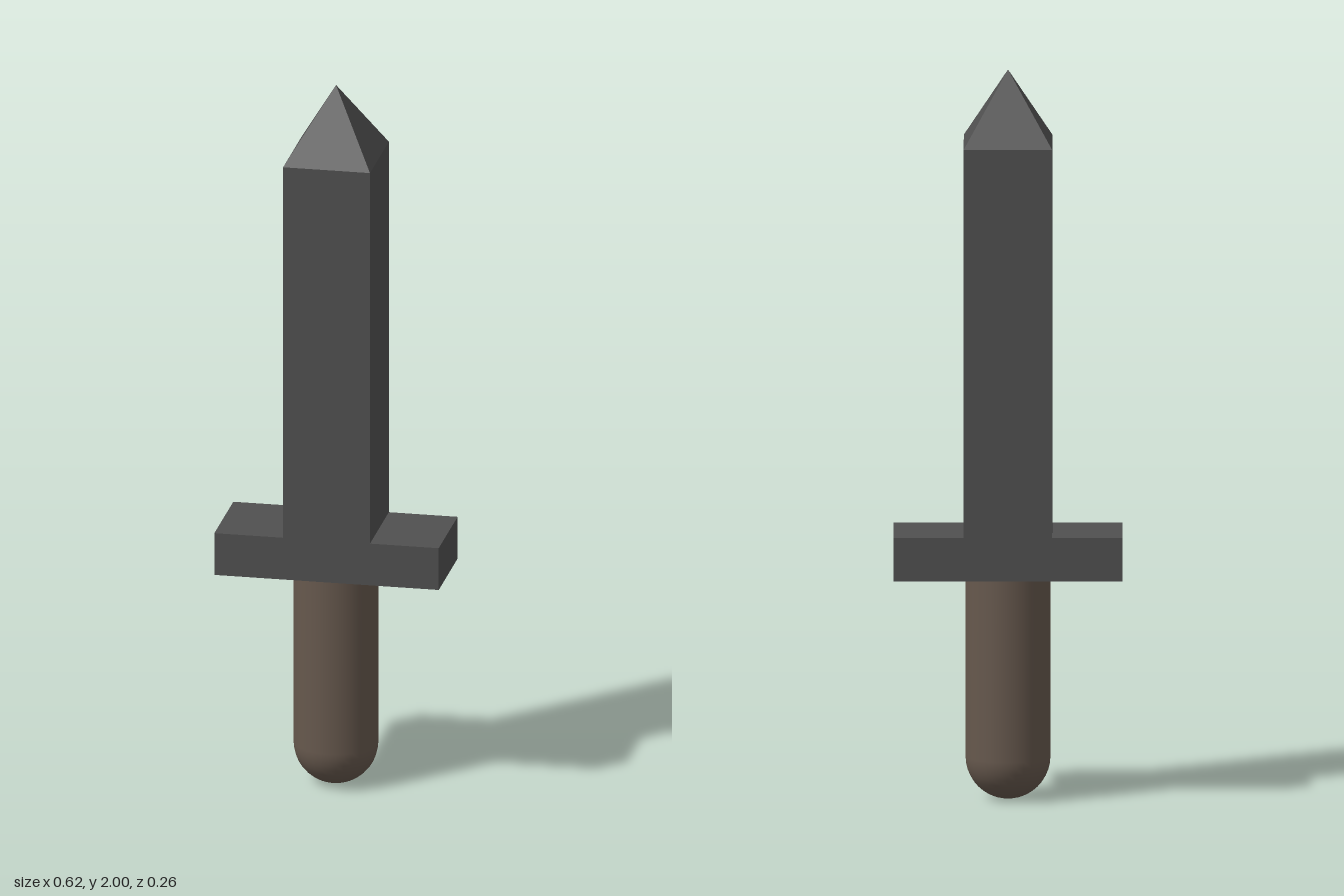
import * as THREE from 'three';

const HALF_BLADE = 0.12, HALF_GUARD = 0.31, HALF_DEPTH = 0.13;
const GUARD_BOTTOM = 0.615, GUARD_TOP = 0.735, SHOULDER = 1.8, TIP = 2;
const GRIP_RADIUS = 0.115;

export function createModel() {
  const group = new THREE.Group();
  const steel = new THREE.MeshStandardMaterial({ color: 0x505050, flatShading: true });
  const wood = new THREE.MeshStandardMaterial({ color: 0x66584d });

  const add = (name, geometry, material) => {
    const mesh = new THREE.Mesh(geometry, material);
    mesh.name = name;
    group.add(mesh);
  };

  // Blade and crossguard share one flush outline
  const right = [
    [HALF_GUARD, GUARD_BOTTOM], [HALF_GUARD, GUARD_TOP],
    [HALF_BLADE, GUARD_TOP], [HALF_BLADE, SHOULDER],
  ];
  const left = right.map(([x, y]) => [-x, y]).reverse();
  const outline = new THREE.Shape([...right, ...left].map(([x, y]) => new THREE.Vector2(x, y)));
  const body = new THREE.ExtrudeGeometry(outline, { depth: 2 * HALF_DEPTH, bevelEnabled: false });
  body.translate(0, 0, -HALF_DEPTH);
  add('bladeAndGuard', body, steel);

  // Four-sided point
  const point = new THREE.ConeGeometry(Math.SQRT2, TIP - SHOULDER, 4, 1, true);
  point.rotateY(Math.PI / 4);
  point.scale(HALF_BLADE, 1, HALF_DEPTH);
  point.translate(0, (SHOULDER + TIP) / 2, 0);
  add('bladeTip', point, steel);

  // Round grip with a domed end
  const profile = [];
  for (let i = 0; i <= 10; i++) {
    const a = (i / 10) * Math.PI / 2;
    profile.push(new THREE.Vector2(GRIP_RADIUS * Math.sin(a), GRIP_RADIUS * (1 - Math.cos(a))));
  }
  profile.push(new THREE.Vector2(GRIP_RADIUS, GUARD_BOTTOM));
  add('grip', new THREE.LatheGeometry(profile, 32), wood);

  return group;
}
